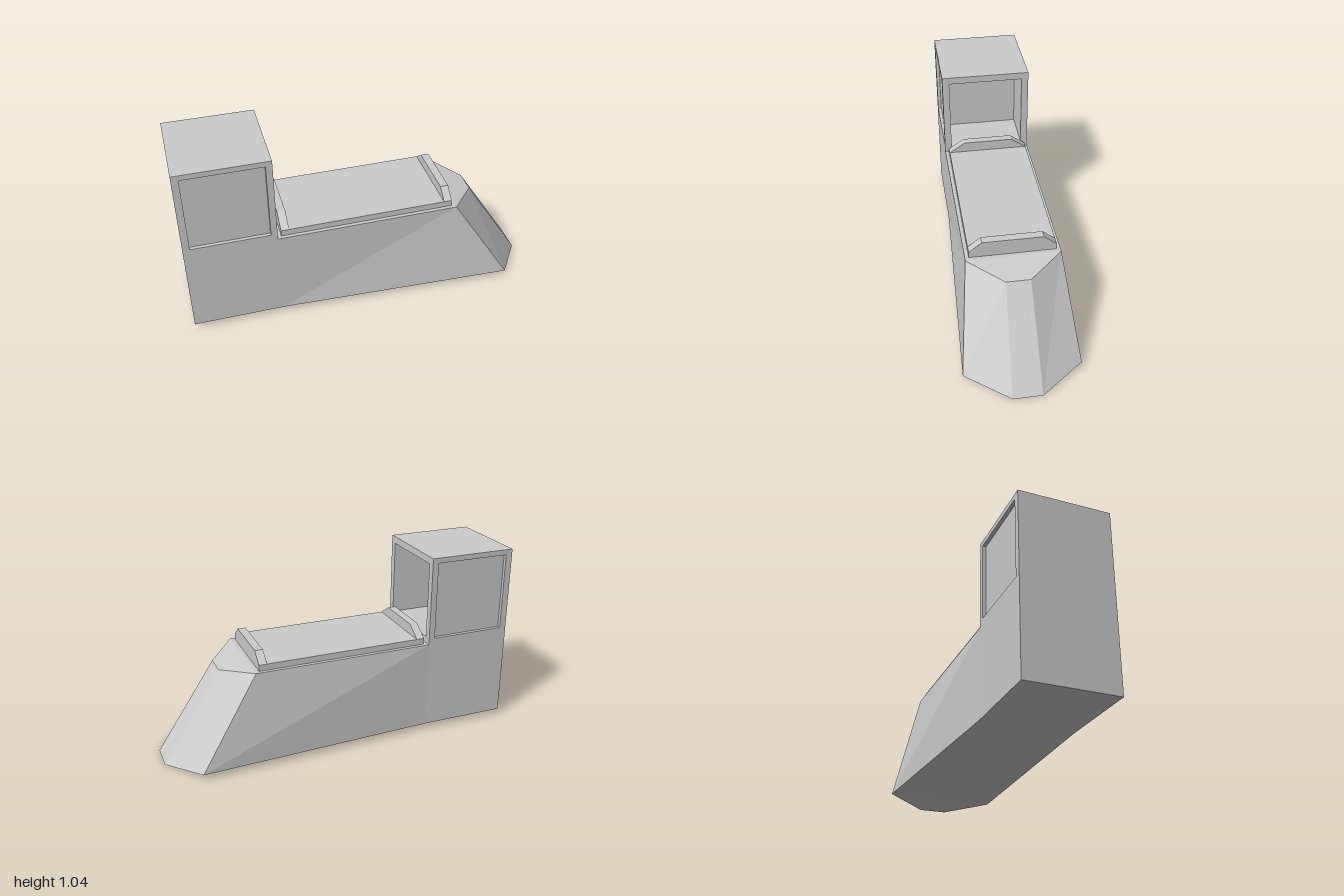
import * as THREE from 'three';

const material = new THREE.MeshStandardMaterial({ color: 0xcccccc, flatShading: true });

function addMesh(parent, name, geometry) {
  const mesh = new THREE.Mesh(geometry, material);
  mesh.name = name;
  parent.add(mesh);
  return mesh;
}

// Box given by its minimum and maximum corners
function boxBetween([x0, y0, z0], [x1, y1, z1]) {
  return new THREE.BoxGeometry(x1 - x0, y1 - y0, z1 - z0)
    .translate((x0 + x1) / 2, (y0 + y1) / 2, (z0 + z1) / 2);
}

const polygon = (points) => points.map(([x, y]) => new THREE.Vector2(x, y));
const rectangle = (x0, y0, x1, y1) => polygon([[x0, y0], [x1, y0], [x1, y1], [x0, y1]]);

function extrude(outline, hole, depth) {
  const shape = new THREE.Shape(outline);
  if (hole) shape.holes.push(new THREE.Path(hole));
  return new THREE.ExtrudeGeometry(shape, { depth, bevelEnabled: false });
}

// Extrude a (z, y) profile along x, starting at x0
const extrudeAlongX = (outline, hole, x0, depth) =>
  extrude(outline, hole, depth).rotateY(Math.PI / 2).translate(x0, 0, 0);

// Flared hull with a raked, faceted nose: half outlines, mirrored across z
function hullGeometry() {
  const top = [[-0.5, 0.54, 0.253], [0.515, 0.54, 0.253], [0.67, 0.508, 0.065]];
  const bottom = [[-0.5, 0.035, 0.253], [0.84, 0.035, 0.317], [1, 0, 0.08]];
  const mirror = ([x, y, z]) => [x, y, -z];
  const positions = [];
  const quad = (a, b, c, d) => positions.push(...a, ...b, ...c, ...a, ...c, ...d);
  for (let i = 0; i < 2; i++) {
    const [t0, t1, b0, b1] = [top[i], top[i + 1], bottom[i], bottom[i + 1]];
    quad(b0, b1, t1, t0);
    quad(mirror(t0), mirror(t1), mirror(b1), mirror(b0));
    quad(t0, t1, mirror(t1), mirror(t0));
    quad(mirror(b0), mirror(b1), b1, b0);
  }
  quad(bottom[2], mirror(bottom[2]), mirror(top[2]), top[2]);
  const geometry = new THREE.BufferGeometry();
  geometry.setAttribute('position', new THREE.Float32BufferAttribute(positions, 3));
  geometry.computeVertexNormals();
  return geometry;
}

export function createModel() {
  const model = new THREE.Group();
  model.name = 'model';

  addMesh(model, 'hull', hullGeometry());

  // Cab: solid rear, open front bay, and side skins with recessed windows
  const cab = new THREE.Group();
  cab.name = 'cab';
  model.add(cab);
  const low = 0.035, high = 1.045, side = 0.253, skin = 0.02;
  const core = side - skin;
  addMesh(cab, 'cabRear', boxBetween([-1, low, -core], [-0.75, high, core]));
  addMesh(cab, 'cabFrontBay', extrudeAlongX(
    rectangle(-core, low, core, high),
    rectangle(-0.213, 0.575, 0.213, 1.005), -0.75, 0.25));
  for (const [name, z] of [['cabWindowFrameFront', core], ['cabWindowFrameBack', -side]]) {
    addMesh(cab, name, extrude(
      rectangle(-1, low, -0.5, high),
      rectangle(-0.962, 0.575, -0.535, 1.015), skin).translate(0, 0, z));
  }

  // Raised deck plate with a chamfered rail across each end
  addMesh(model, 'deckPlate', boxBetween([-0.478, 0.54, -0.232], [0.492, 0.575, 0.232]));
  for (const [name, x, topHalf, topY] of [
    ['rearRail', -0.478, 0.143, 0.635],
    ['noseRail', 0.447, 0.163, 0.631],
  ]) {
    const profile = polygon([[-0.232, 0.575], [0.232, 0.575], [topHalf, topY], [-topHalf, topY]]);
    addMesh(model, name, extrudeAlongX(profile, null, x, 0.045));
  }

  return model;
}
